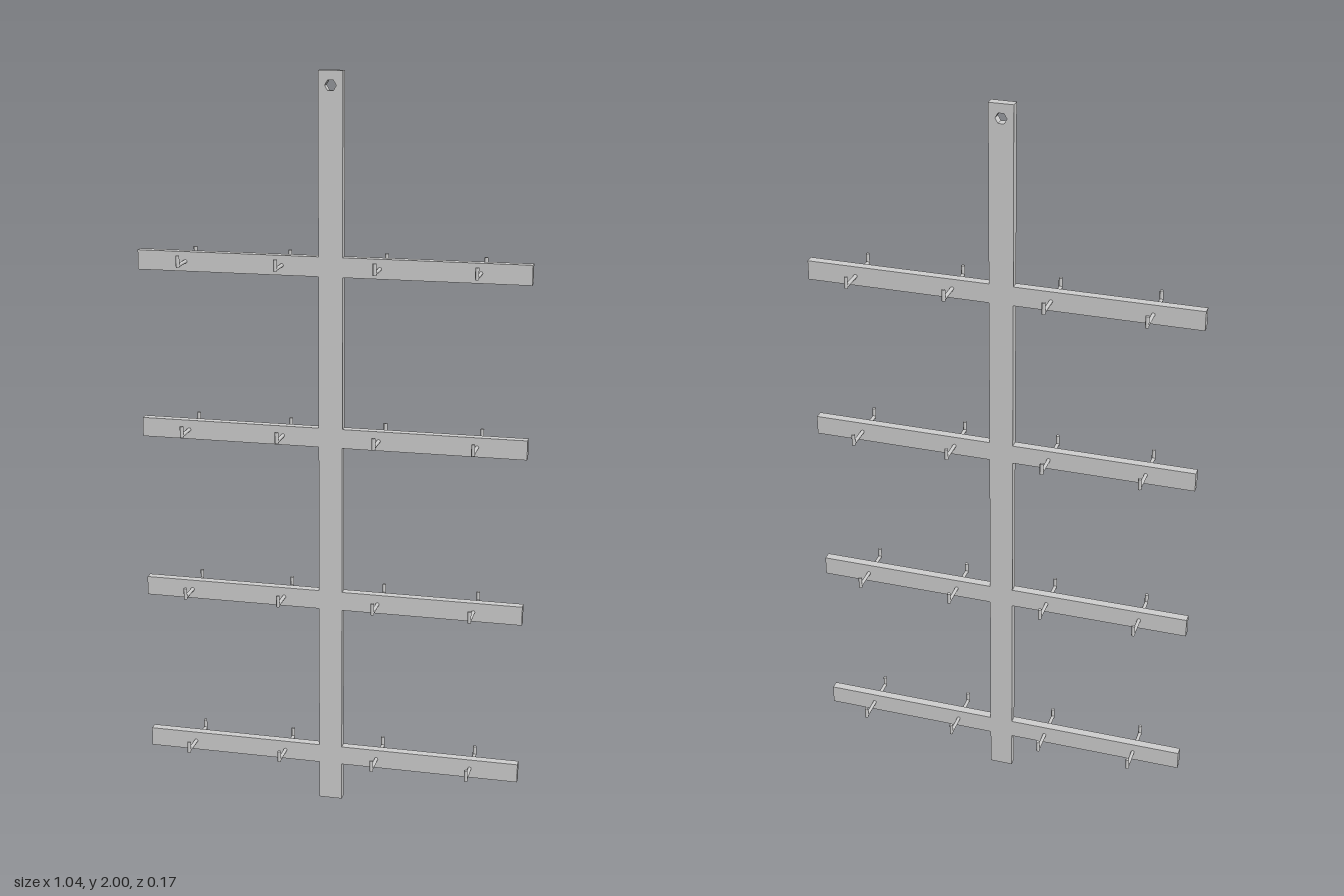
import * as THREE from 'three';

export function createModel() {
  const group = new THREE.Group();
  const metal = new THREE.MeshStandardMaterial({ color: 0xd0d0d0 });
  metal.name = 'light grey metal';

  const depth = 0.024, postHalf = 0.032, armHalf = 0.522, armHeight = 0.052;
  const levels = [0.132, 0.589, 1.046, 1.503];

  // Flat frame: post and cross arms as one outline, with a six-sided hanging hole
  const right = [[postHalf, 0]];
  for (const y of levels) {
    const lo = y - armHeight / 2, hi = y + armHeight / 2;
    right.push([postHalf, lo], [armHalf, lo], [armHalf, hi], [postHalf, hi]);
  }
  right.push([postHalf, 2]);
  const left = right.map(([x, y]) => [-x, y]).reverse();
  const outline = new THREE.Shape([...right, ...left].map(([x, y]) => new THREE.Vector2(x, y)));
  const holePoints = [];
  for (let i = 0; i < 6; i++) {
    const a = -i * Math.PI / 3;
    holePoints.push(new THREE.Vector2(0.015 * Math.cos(a), 1.963 + 0.015 * Math.sin(a)));
  }
  outline.holes.push(new THREE.Path(holePoints));
  const frameGeometry = new THREE.ExtrudeGeometry(outline, { depth, bevelEnabled: false });
  frameGeometry.translate(0, 0, -depth / 2);
  const frame = new THREE.Mesh(frameGeometry, metal);
  frame.name = 'frame';
  group.add(frame);

  // Hooks: a rod out from the arm and an upturned tip, on both faces
  const radius = 0.005, reach = 0.078, tipHeight = 0.031;
  const rodGeometry = new THREE.CylinderGeometry(radius, radius, reach, 8);
  rodGeometry.rotateX(Math.PI / 2).translate(0, 0, reach / 2);
  const tipGeometry = new THREE.CylinderGeometry(radius, radius, tipHeight, 8);
  tipGeometry.translate(0, tipHeight / 2 - radius, reach);
  const parts = { hookRod: rodGeometry, hookTip: tipGeometry };

  for (const y of levels) {
    for (const x of [-0.391, -0.13, 0.13, 0.391]) {
      for (const turn of [0, Math.PI]) {
        const hook = new THREE.Group();
        hook.name = turn ? 'backHook' : 'frontHook';
        for (const [name, geometry] of Object.entries(parts)) {
          const mesh = new THREE.Mesh(geometry, metal);
          mesh.name = name;
          hook.add(mesh);
        }
        hook.position.set(x, y, 0);
        hook.rotation.y = turn;
        group.add(hook);
      }
    }
  }
  return group;
}
